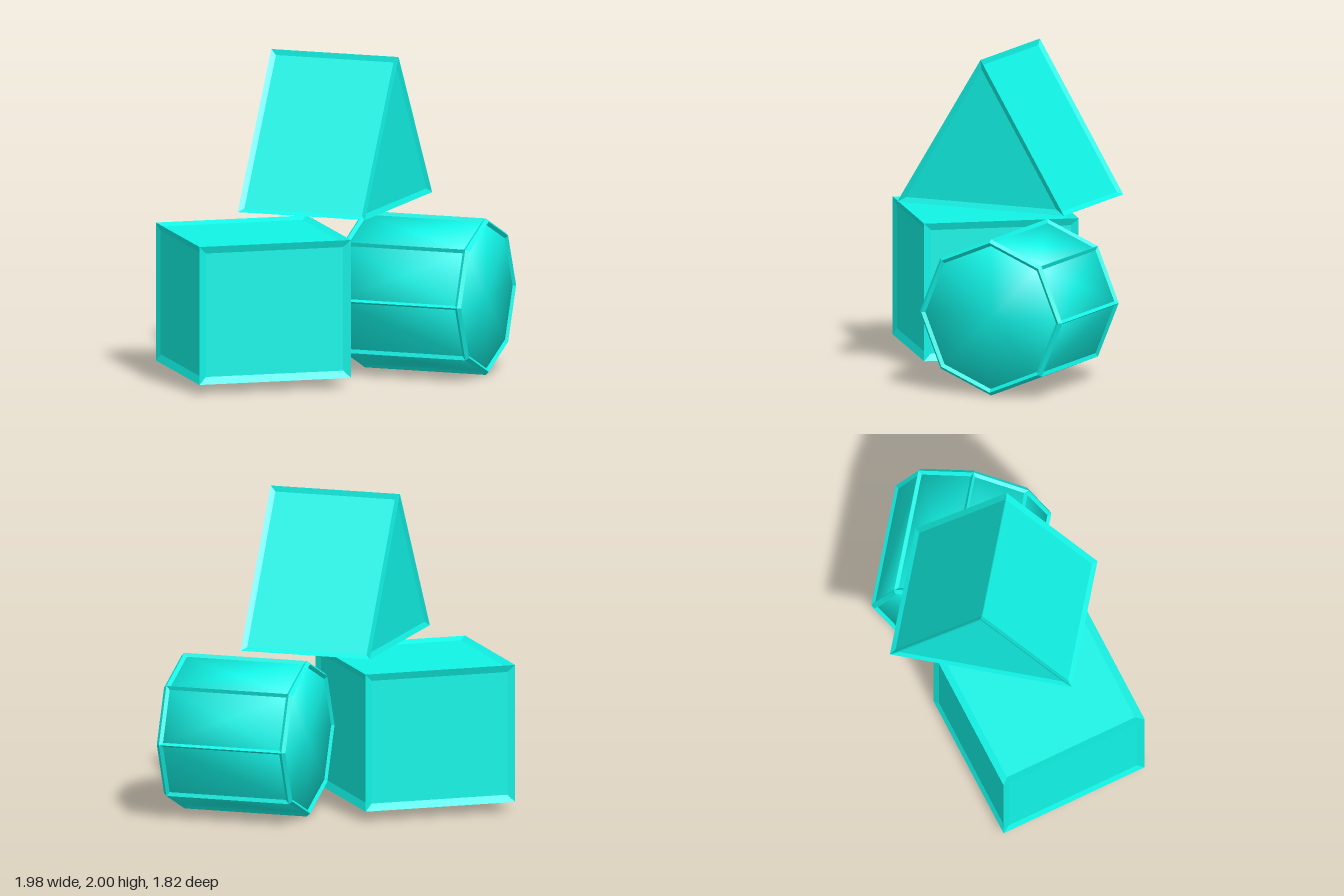
import * as THREE from 'three';

const material = new THREE.MeshStandardMaterial({ color: 0x11f4e6 });

// Shrinks a convex loop by w inside its plane and sinks it by d along the face normal.
function insetLoop(loop, normal, w, d) {
  const n = loop.length;
  return loop.map((p, i) => {
    const e1 = p.clone().sub(loop[(i + n - 1) % n]).normalize();
    const e2 = loop[(i + 1) % n].clone().sub(p).normalize();
    const s = e1.clone().cross(e2).length();
    return p.clone().addScaledVector(e2.sub(e1), w / s).addScaledVector(normal, -d);
  });
}

// Prism along x from a (z, y) profile; every face is a sunken panel in a sloping frame.
// chamfer bevels the end rims, round gives the panels outward-swelling normals.
function panelledPrism(profile, length, { w, d, chamfer = 0, round = false }) {
  const positions = [], normals = [];
  const tri = (pts, norms) => pts.forEach((p, i) => {
    positions.push(...p.toArray());
    normals.push(...norms[i].toArray());
  });
  const middle = (loop) => loop
    .reduce((sum, p) => sum.add(p), new THREE.Vector3())
    .divideScalar(loop.length);
  const normalOf = (a, b, c) => b.clone().sub(a).cross(c.clone().sub(a)).normalize();
  const flatQuad = (a, b, c, e) => {
    const n = normalOf(a, b, c);
    tri([a, b, c], [n, n, n]);
    tri([a, c, e], [n, n, n]);
  };
  // Puts a loop in counter-clockwise order as seen from outside.
  const outward = (loop) =>
    normalOf(loop[0], loop[1], loop[2]).dot(middle(loop)) < 0 ? loop.slice().reverse() : loop;

  const addFace = (corners) => {
    const loop = outward(corners);
    const n = normalOf(loop[0], loop[1], loop[2]);
    const inner = insetLoop(loop, n, w, d);
    const centre = middle(inner);
    const panelNormal = (p) => (round ? p.clone().normalize() : n);
    loop.forEach((p, i) => {
      const j = (i + 1) % loop.length;
      flatQuad(p, loop[j], inner[j], inner[i]);
      tri([centre, inner[i], inner[j]], [n, panelNormal(inner[i]), panelNormal(inner[j])]);
    });
  };

  const ring = (x, scale) => profile.map(([z, y]) => new THREE.Vector3(x, y * scale, z * scale));
  const h = length / 2;
  const radius = Math.hypot(...profile[0]);
  const sides = [-1, 1].map((s) => ring(s * (h - chamfer), 1));
  const caps = [-1, 1].map((s) => ring(s * h, 1 - chamfer / radius));

  caps.forEach(addFace);
  profile.forEach((_, i) => {
    const j = (i + 1) % profile.length;
    addFace([sides[0][i], sides[0][j], sides[1][j], sides[1][i]]);
    if (chamfer > 0) {
      for (const k of [0, 1]) {
        flatQuad(...outward([sides[k][i], sides[k][j], caps[k][j], caps[k][i]]));
      }
    }
  });

  const geometry = new THREE.BufferGeometry();
  geometry.setAttribute('position', new THREE.Float32BufferAttribute(positions, 3));
  geometry.setAttribute('normal', new THREE.Float32BufferAttribute(normals, 3));
  return geometry;
}

function addBlock(group, name, geometry, x, y, z, turn = 0) {
  const mesh = new THREE.Mesh(geometry, material);
  mesh.name = name;
  mesh.position.set(x, y, z);
  mesh.rotation.y = turn;
  group.add(mesh);
}

export function createModel() {
  const group = new THREE.Group();
  group.name = 'toyBlocks';

  // Square block, turned on its base
  const a = 0.485, b = 0.43;
  const square = [[-a, -b], [a, -b], [a, b], [-a, b]];
  addBlock(group, 'squareBlock',
    panelledPrism(square, 0.97, { w: 0.045, d: 0.018 }), -0.31, 0.49, 0.23, 0.652);

  // Eight-sided block lying on one edge
  const octagon = Array.from({ length: 8 }, (_, i) => {
    const t = (i * Math.PI) / 4;
    return [0.488 * Math.cos(t), 0.488 * Math.sin(t)];
  });
  addBlock(group, 'octagonalBlock',
    panelledPrism(octagon, 0.836, { w: 0.02, d: 0.015, chamfer: 0.02, round: true }),
    0.57, 0.488, -0.425);

  // Triangular block resting above the other two
  const triangle = [[0.57, -0.31], [-0.57, -0.31], [0, 0.62]];
  addBlock(group, 'triangularBlock',
    panelledPrism(triangle, 0.84, { w: 0.032, d: 0.015 }), 0.088, 1.38, -0.13);

  return group;
}
